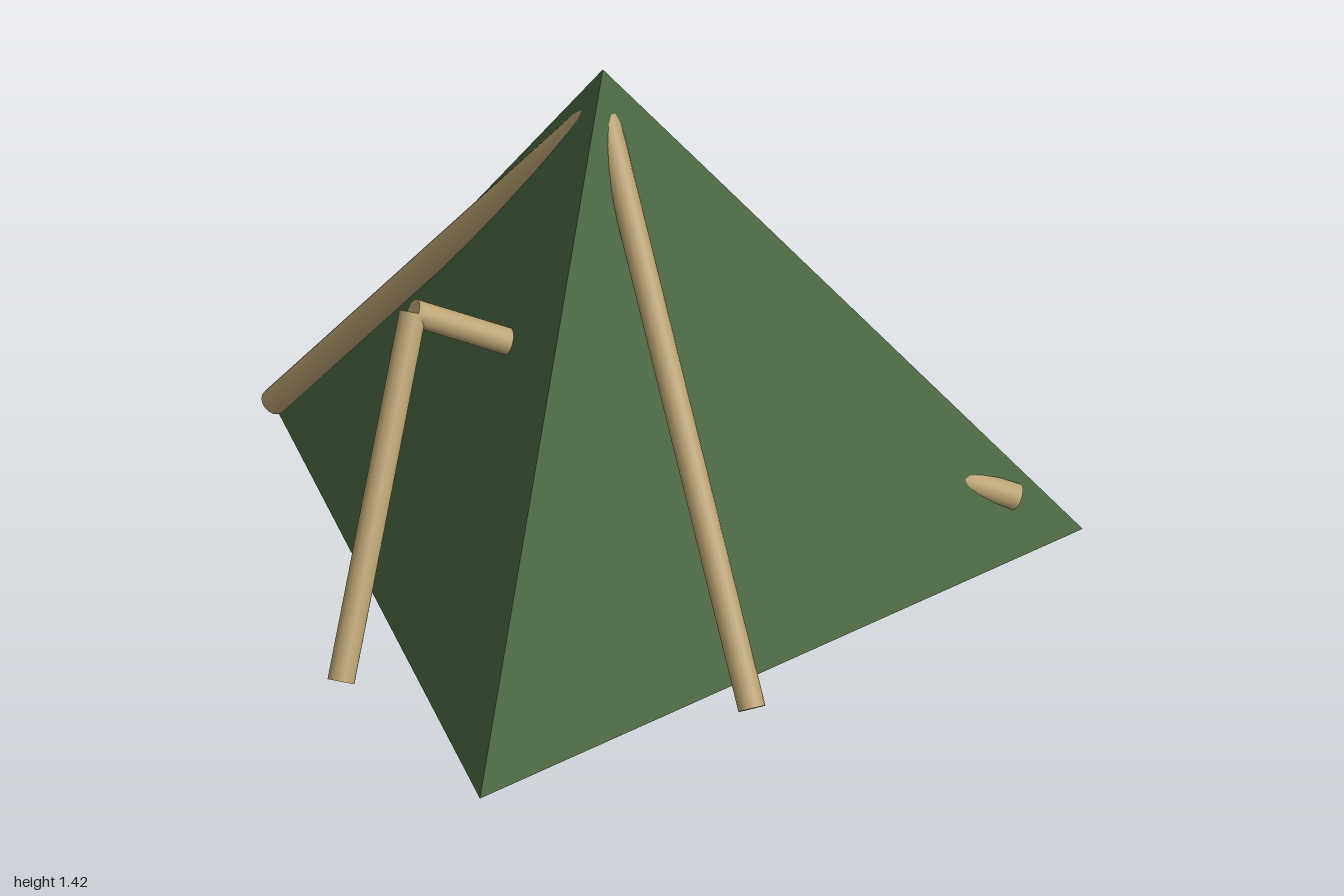
import * as THREE from 'three';

const canvasGreen = new THREE.MeshStandardMaterial({ color: 0x4a6741 });
canvasGreen.name = 'canvasGreen';
const paleWood = new THREE.MeshStandardMaterial({ color: 0xb8a070 });
paleWood.name = 'paleWood';

// Closed three-sided pyramid with an off-centre apex
function makeCanvas() {
  const apex = [-0.03, 1.42, -0.25];
  const left = [1, 0, -0.8], right = [-1, 0, -0.8], front = [-0.03, 0, 0.8];
  const faces = [
    [right, front, apex],
    [front, left, apex],
    [left, right, apex],
    [right, left, front], // ground sheet
  ];
  const geometry = new THREE.BufferGeometry();
  geometry.setAttribute('position', new THREE.Float32BufferAttribute(faces.flat(2), 3));
  geometry.computeVertexNormals();
  const mesh = new THREE.Mesh(geometry, canvasGreen);
  mesh.name = 'tentCanvas';
  return mesh;
}

// Round pole between two points
function makePole(name, from, to) {
  const a = new THREE.Vector3(...from), b = new THREE.Vector3(...to);
  const axis = b.clone().sub(a);
  const mesh = new THREE.Mesh(new THREE.CylinderGeometry(0.033, 0.033, axis.length(), 16), paleWood);
  mesh.position.copy(a).add(b).multiplyScalar(0.5);
  mesh.quaternion.setFromUnitVectors(new THREE.Vector3(0, 1, 0), axis.normalize());
  mesh.name = name;
  return mesh;
}

export function createModel() {
  const model = new THREE.Group();
  model.name = 'tent';
  const peak = [-0.03, 1.32, -0.25];
  const elbow = [-0.408, 0.867, 0.07];
  model.add(
    makeCanvas(),
    // Two poles leaning into the peak
    makePole('rightPole', [-0.968, 0.1, -0.667], peak),
    makePole('leftPole', [0.525, 0.105, 0.388], peak),
    // Propped bar that runs through the tent and out of its left side
    makePole('propPole', [-0.45, 0.105, 0.54], elbow),
    makePole('crossPole', elbow, [0.867, 0.13, -0.69]),
  );
  return model;
}
